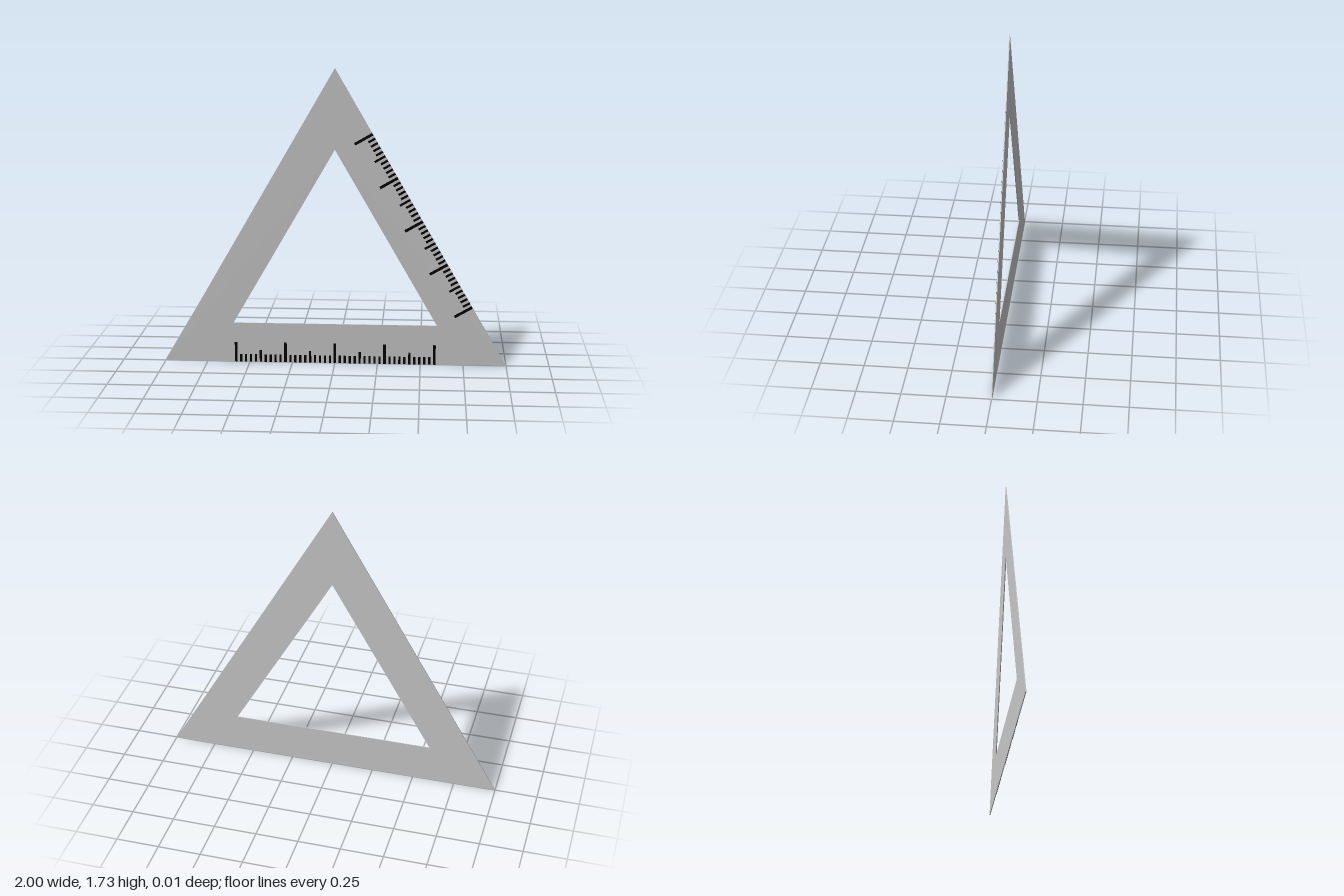
import * as THREE from 'three';

const THICKNESS = 0.005;
const INK = 0.001;
const HEIGHT = Math.sqrt(3);

// Equilateral plate with a matching triangular window
function createPlate(material) {
  const outline = new THREE.Shape([
    new THREE.Vector2(-1, 0), new THREE.Vector2(1, 0), new THREE.Vector2(0, HEIGHT),
  ]);
  outline.holes.push(new THREE.Path([
    new THREE.Vector2(-0.595, 0.235), new THREE.Vector2(0, 1.265), new THREE.Vector2(0.595, 0.235),
  ]));
  const geometry = new THREE.ExtrudeGeometry(outline, { depth: THICKNESS, bevelEnabled: false });
  geometry.translate(0, 0, -THICKNESS / 2);
  const plate = new THREE.Mesh(geometry, material);
  plate.name = 'plate';
  return plate;
}

// Row of graduation marks along local x, rising from the edge at y = 0
function createScale(name, material) {
  const scale = new THREE.Group();
  scale.name = name;
  const spacing = 0.0291;
  for (let i = 0; i <= 40; i++) {
    const major = i % 10 === 0;
    const half = i % 5 === 0;
    const length = major ? 0.118 : half ? 0.07 : 0.045;
    const width = major ? 0.016 : 0.013;
    const mark = new THREE.Mesh(new THREE.BoxGeometry(width, length, INK), material);
    mark.name = major ? 'majorMark' : half ? 'halfMark' : 'minorMark';
    mark.position.set((i - 20) * spacing, length / 2, THICKNESS / 2 + INK / 2);
    scale.add(mark);
  }
  return scale;
}

export function createModel() {
  const model = new THREE.Group();
  model.name = 'setSquare';
  const grey = new THREE.MeshStandardMaterial({ color: 0xcccccc });
  const black = new THREE.MeshStandardMaterial({ color: 0x000000 });

  model.add(createPlate(grey));
  model.add(createScale('bottomScale', black));

  // Second scale runs along the sloping +x edge
  const sideScale = createScale('sideScale', black);
  sideScale.rotation.z = 2 * Math.PI / 3;
  sideScale.position.set(0.507, 0.853, 0);
  model.add(sideScale);

  return model;
}
